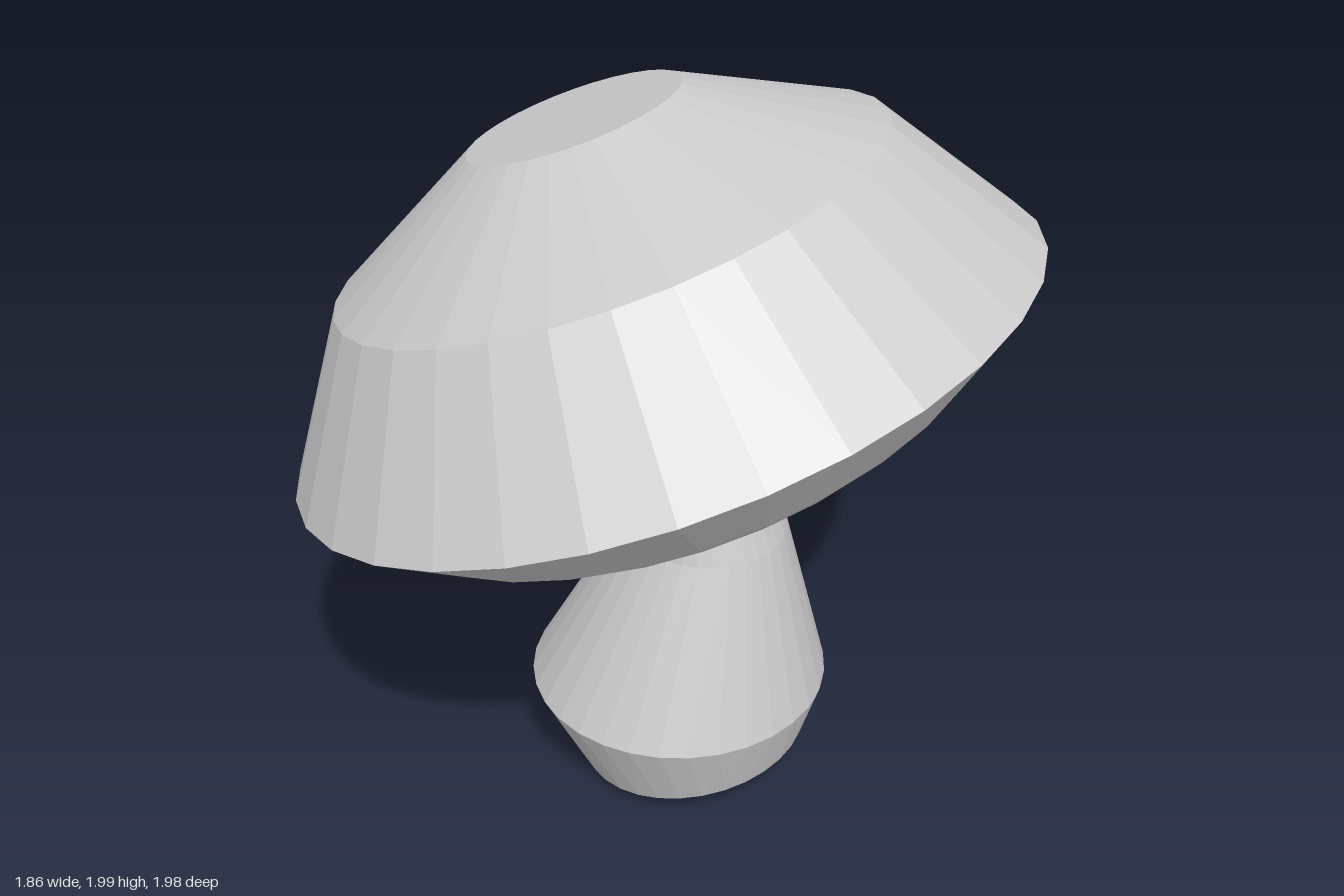
import * as THREE from 'three';

const SIDES = 32;
const material = new THREE.MeshStandardMaterial({ color: 0xcccccc, flatShading: true });

// Tilted cap: one closed profile running from the hollow underside over the rim to the flat top
function makeCap() {
  const profile = [
    [0, 0.11], [0.185, 0.11],                  // flat ceiling of the hollow
    [0.62, -0.234], [0.71, -0.217], [0.79, -0.17], // rounded lower lip
    [0.992, 0], [0.72, 0.395], [0.277, 0.634], [0, 0.634], // rim, shoulder, flat top
  ].map(([r, y]) => new THREE.Vector2(r, y));
  const cap = new THREE.Mesh(new THREE.LatheGeometry(profile, SIDES), material);
  cap.name = 'cap';
  cap.position.set(0, 1.305, 0);
  cap.rotation.z = THREE.MathUtils.degToRad(20.3);
  return cap;
}

// Bent stem: a cylinder whose rings are each moved, scaled and tilted
function makeStem() {
  const rings = [
    { x: 0.105, y: 0.067, r: 0.32, tilt: 0.196 },
    { x: 0.057, y: 0.3, r: 0.413, tilt: 0.012 },
    { x: 0.135, y: 0.8, r: 0.215, tilt: 0 },
    { x: 0.045, y: 1.45, r: 0.07, tilt: 0.2 },
  ];
  const geometry = new THREE.CylinderGeometry(1, 1, 3, SIDES, 3);
  const pos = geometry.attributes.position;
  for (let i = 0; i < pos.count; i++) {
    const ring = rings[Math.round(pos.getY(i) + 1.5)];
    const across = pos.getX(i) * ring.r;
    pos.setXYZ(
      i,
      ring.x + across * Math.cos(ring.tilt),
      ring.y + across * Math.sin(ring.tilt),
      pos.getZ(i) * ring.r,
    );
  }
  geometry.computeVertexNormals();
  const stem = new THREE.Mesh(geometry, material);
  stem.name = 'stem';
  return stem;
}

export function createModel() {
  const mushroom = new THREE.Group();
  mushroom.name = 'mushroom';
  mushroom.add(makeCap(), makeStem());
  return mushroom;
}
